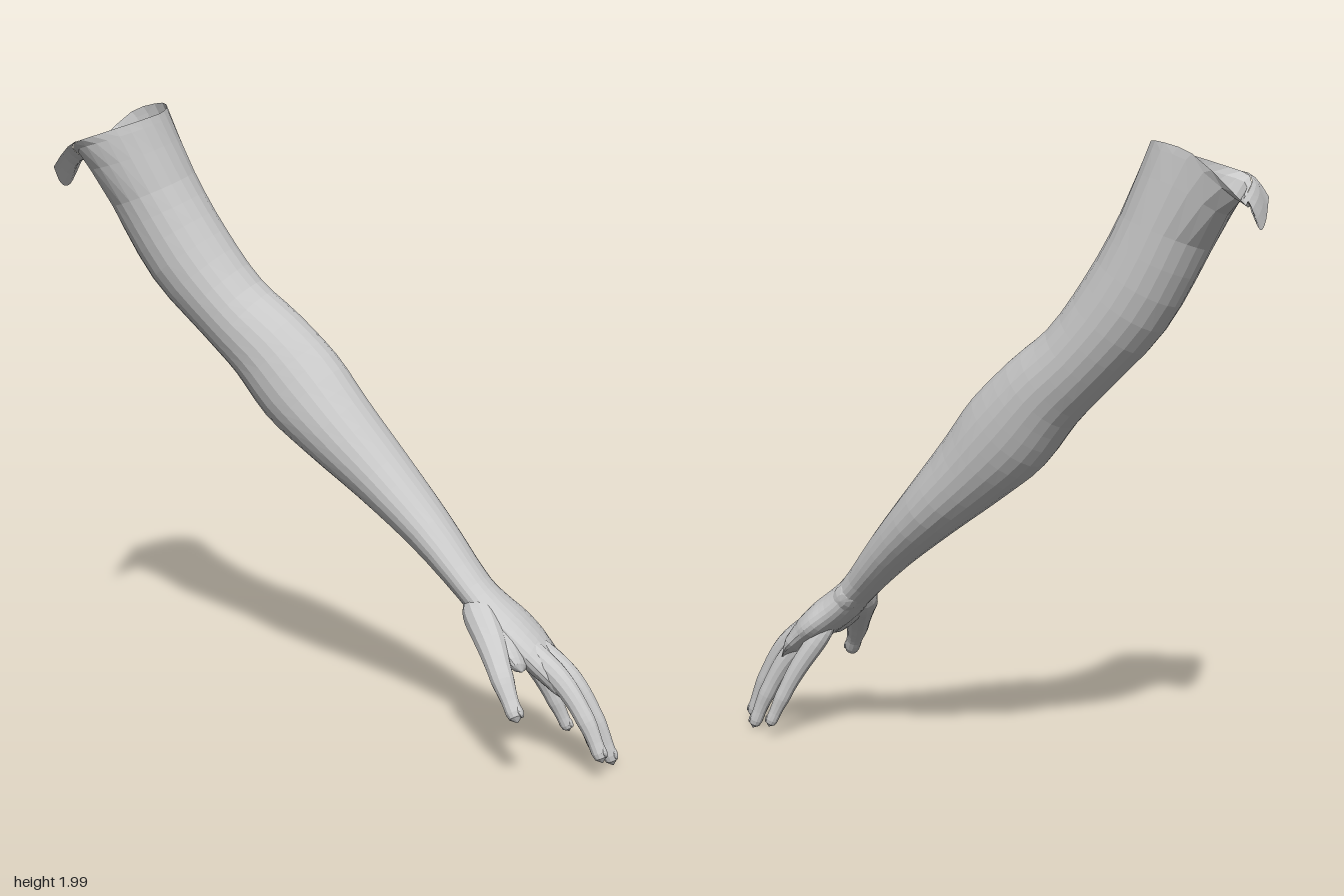
import * as THREE from 'three';

const V = (x, y, z) => new THREE.Vector3(x, y, z);
const curveOf = (pts, closed = false) => new THREE.CatmullRomCurve3(pts.map((p) => V(...p)), closed);
const { lerp, smoothstep } = THREE.MathUtils;

const skin = new THREE.MeshStandardMaterial({ color: 0xcccccc, flatShading: true, side: THREE.DoubleSide });

// Skin a grid of points: at(u, v) gives a point, u runs along, v runs across
function gridMesh(name, at, nu, nv) {
  const pos = [], idx = [];
  for (let i = 0; i <= nu; i++) {
    for (let j = 0; j <= nv; j++) pos.push(...at(i / nu, j / nv).toArray());
  }
  for (let i = 0; i < nu; i++) {
    for (let j = 0; j < nv; j++) {
      const a = i * (nv + 1) + j, c = a + nv + 1;
      idx.push(a, a + 1, c, a + 1, c + 1, c);
    }
  }
  const geo = new THREE.BufferGeometry();
  geo.setAttribute('position', new THREE.Float32BufferAttribute(pos, 3));
  geo.setIndex(idx);
  geo.computeVertexNormals();
  const mesh = new THREE.Mesh(geo, skin);
  mesh.name = name;
  return mesh;
}

// Cross-section axes: n points to the upper side, d towards the front
function frame(curve, t) {
  const tan = curve.getTangent(t);
  const d = V(0, 0, 1).addScaledVector(tan, -tan.z).normalize();
  return { tan, d, n: d.clone().cross(tan) };
}

// Point on an elliptical section with half-widths a (upper) and b (front)
function sectionPoint(curve, t, { n, d }, [a, b], v) {
  const w = v * Math.PI * 2;
  return curve.getPoint(t).addScaledVector(n, a * Math.cos(w)).addScaledVector(d, b * Math.sin(w));
}

const loft = (name, curve, radii, steps, sides) =>
  gridMesh(name, (t, v) => sectionPoint(curve, t, frame(curve, t), radii(t), v), steps, sides);

// Rounds both ends of a loft: 0 at the ends, 1 in between
const roundEnds = (t, start, end) => {
  const e = Math.max(0, (start - t) / start, (t - 1 + end) / end);
  return Math.sqrt(Math.max(0, 1 - e * e));
};

// Shoulder to knuckles: centre x, y, z, then half-widths
const ARM = [
  [-0.75, 1.955, -0.21, 0.145, 0.185],
  [-0.65, 1.73, -0.22, 0.142, 0.162],
  [-0.53, 1.52, -0.215, 0.143, 0.152],
  [-0.385, 1.35, -0.2, 0.13, 0.142],
  [-0.26, 1.235, -0.18, 0.14, 0.138],
  [-0.15, 1.115, -0.155, 0.152, 0.136],
  [-0.025, 0.99, -0.12, 0.131, 0.135],
  [0.13, 0.845, -0.08, 0.103, 0.127],
  [0.3, 0.685, -0.015, 0.076, 0.108],
  [0.455, 0.525, 0.06, 0.056, 0.094],
  [0.52, 0.463, 0.08, 0.06, 0.108],
  [0.585, 0.412, 0.095, 0.06, 0.125],
  [0.65, 0.357, 0.11, 0.054, 0.13],
  [0.71, 0.297, 0.115, 0.038, 0.12],
  [0.745, 0.25, 0.118, 0.001, 0.09],
];

// Open shoulder rim, from the outer side round by the front; it dips at the armpit
const RIM = curveOf([
  [-0.605, 1.98, -0.2], [-0.65, 1.96, -0.08], [-0.755, 1.925, -0.025], [-0.85, 1.89, -0.02],
  [-0.875, 1.825, -0.2], [-0.915, 1.815, -0.345], [-0.77, 1.96, -0.395], [-0.65, 1.995, -0.345],
], true);

// Path from inside the palm to the tip, base and tip radius
const FINGERS = {
  thumb: { path: [[0.45, 0.51, 0.09], [0.527, 0.405, 0.227], [0.578, 0.317, 0.322], [0.632, 0.212, 0.385]], r: [0.062, 0.027] },
  indexFinger: { path: [[0.57, 0.42, 0.15], [0.74, 0.3, 0.215], [0.83, 0.18, 0.255], [0.885, 0.06, 0.28]], r: [0.045, 0.024] },
  middleFinger: { path: [[0.58, 0.42, 0.12], [0.765, 0.285, 0.15], [0.855, 0.145, 0.16], [0.912, 0.008, 0.165]], r: [0.045, 0.024] },
  ringFinger: { path: [[0.57, 0.42, 0.085], [0.73, 0.255, 0.077], [0.805, 0.125, 0.068], [0.855, 0.005, 0.06]], r: [0.043, 0.023] },
  littleFinger: { path: [[0.54, 0.42, 0.04], [0.655, 0.25, 0.01], [0.712, 0.14, -0.006], [0.758, 0.04, -0.016]], r: [0.039, 0.021] },
};

// Ellipsoid with half-sizes along the cross-section axes of a curve point
function pad(name, curve, t, lift, side, size) {
  const { tan, d, n } = frame(curve, t);
  const mesh = new THREE.Mesh(new THREE.SphereGeometry(1, 12, 8), skin);
  mesh.name = name;
  mesh.scale.set(...size);
  mesh.quaternion.setFromRotationMatrix(new THREE.Matrix4().makeBasis(n, d, tan));
  mesh.position.copy(curve.getPoint(t)).addScaledVector(n, lift).addScaledVector(d, side);
  return mesh;
}

function finger(name, { path, r }) {
  const group = new THREE.Group();
  group.name = name;
  const curve = curveOf(path);
  const radius = (t) => {
    const joints = 1 + 0.07 * Math.exp(-(((t - 0.66) / 0.07) ** 2));
    const size = lerp(r[0], r[1], Math.min(1, t * 1.2)) * joints * roundEnds(t, 0.2, 0.1);
    return [size, size];
  };
  group.add(loft(name + 'Body', curve, radius, 24, 12));
  group.add(pad(name + 'Nail', curve, 0.92, r[1] * 0.72, 0, [r[1] * 0.35, r[1] * 0.7, r[1] * 0.85]));
  return group;
}

export function createModel() {
  const model = new THREE.Group();
  model.name = 'arm';

  // Arm and palm in one skin: the top flows into the rim, the knuckle row slants
  const centre = curveOf(ARM);
  const widths = curveOf(ARM.map((p) => [p[3], p[4], 0]));
  model.add(gridMesh('armAndPalm', (t, v) => {
    const f = frame(centre, t), w = widths.getPoint(t);
    const level = Math.max(0, 1 - t * 9), toRim = Math.max(0, 1 - t * 14);
    f.n.lerp(V(1, 0.2, 0), level);
    f.d.lerp(V(0, -0.18, 1), level).addScaledVector(f.tan, 0.4 * smoothstep(t, 0.72, 0.9));
    const p = sectionPoint(centre, t, f, [Math.max(w.x, 0.001), Math.max(w.y, 0.001)], v);
    return p.lerp(RIM.getPoint(v), toRim);
  }, 42, 24));
  model.add(pad('wristBone', centre, 0.655, 0, -0.052, [0.046, 0.047, 0.08]));

  for (const [name, spec] of Object.entries(FINGERS)) model.add(finger(name, spec));

  // Web of flesh between thumb and index finger
  const web = curveOf([[0.49, 0.475, 0.1], [0.56, 0.4, 0.18], [0.63, 0.33, 0.262]]);
  const webRadii = (t) => {
    const k = roundEnds(t, 0.4, 0.3);
    return [lerp(0.058, 0.026, t) * k, lerp(0.075, 0.05, t) * k];
  };
  model.add(loft('thumbWeb', web, webRadii, 14, 14));

  // Loose strip folded outwards over the armpit side of the rim
  const hem = curveOf([[-0.89, 1.825, 0.064], [-0.91, 1.76, -0.06], [-0.925, 1.74, -0.2], [-0.93, 1.8, -0.345]]);
  model.add(gridMesh('armpitFlap', (u, v) => {
    const p = RIM.getPoint(lerp(0.33, 0.625, v)).lerp(hem.getPoint(v), u);
    p.y += 0.02 * Math.sin(u * Math.PI);
    return p;
  }, 4, 12));

  return model;
}
